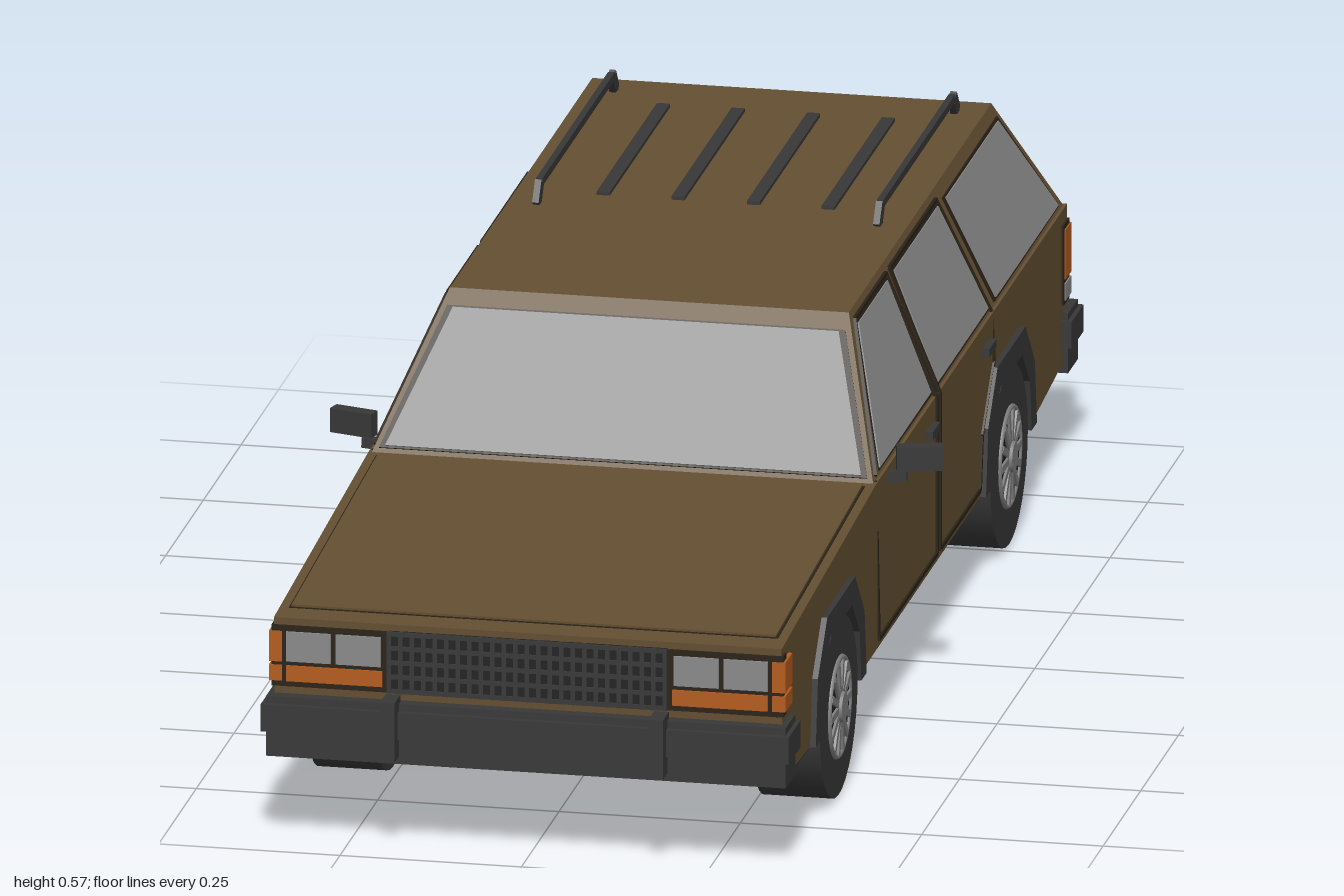
import * as THREE from 'three';
import { ConvexGeometry } from 'three/addons/geometries/ConvexGeometry.js';

const mat = (name, color) => {
  const m = new THREE.MeshStandardMaterial({ color });
  m.name = name;
  return m;
};
const V = (x, y, z) => new THREE.Vector3(x, y, z);

export function createModel() {
  const car = new THREE.Group();
  car.name = 'stationWagon';
  const brown = mat('brownPaint', 0x644f32), seam = mat('darkSeam', 0x2a2217);
  const charcoal = mat('charcoalTrim', 0x383838), black = mat('blackUnderside', 0x222222);
  const glass = mat('greyGlass', 0x8a8a8a), orange = mat('orangeLens', 0xb45c1e);
  const metal = mat('wheelMetal', 0x808080);

  const add = (name, geo, m, parent = car) => {
    const mesh = new THREE.Mesh(geo, m);
    mesh.name = name;
    parent.add(mesh);
    return mesh;
  };
  // Box given by its limits
  const box = (name, m, x0, x1, y0, y1, z0, z1, parent) => {
    const b = add(name, new THREE.BoxGeometry(Math.abs(x1 - x0), y1 - y0, Math.abs(z1 - z0)), m, parent);
    b.position.set((x0 + x1) / 2, (y0 + y1) / 2, (z0 + z1) / 2);
    return b;
  };
  // Side profile of [z, y] points, extruded from x0 to x1
  const profile = (name, m, pts, x0, x1) => {
    const geo = new THREE.ExtrudeGeometry(new THREE.Shape(pts.map(p => new THREE.Vector2(...p))),
      { depth: x1 - x0, bevelEnabled: false });
    geo.rotateY(-Math.PI / 2).translate(x1, 0, 0);
    return add(name, geo, m);
  };
  // Thin bar between two points
  const bar = (name, m, a, b, w, h = w) => {
    const s = add(name, new THREE.BoxGeometry(w, h, a.distanceTo(b)), m);
    s.position.copy(a).add(b).multiplyScalar(0.5);
    s.lookAt(b);
    return s;
  };
  // Thin convex plate raised outwards from a planar loop
  const plate = (name, m, pts, t, grow = 0) => {
    const c = pts.reduce((s, p) => s.add(p), V(0, 0, 0)).divideScalar(pts.length);
    const loop = pts.map(p => p.clone().addScaledVector(p.clone().sub(c).normalize(), grow));
    const n = loop[1].clone().sub(loop[0]).cross(loop[2].clone().sub(loop[0])).normalize();
    if (n.dot(c.clone().sub(V(0, 0.25, 0))) < 0) n.negate();
    const all = [...loop.map(p => p.clone().addScaledVector(n, t)),
      ...loop.map(p => p.clone().addScaledVector(n, -0.002))];
    return add(name, new ConvexGeometry(all), m);
  };
  const pane = (name, pts) => {
    plate(name + 'Frame', seam, pts, 0.002, 0.009);
    plate(name, glass, pts, 0.004);
  };

  // Lower body with angular wheel arches
  const axles = [0.6, -0.53];
  const arch = (z, r) => [[-0.155, 0.12], [-0.142, 0.205], [-0.085, 0.267],
    [0.085, 0.267], [0.142, 0.205], [0.155, 0.12]]
    .map(([dz, y]) => [z + dz * r, 0.12 + (y - 0.12) * r]);
  profile('lowerBody', brown, [[-0.93, 0.14], [-0.72, 0.12], ...arch(-0.53, 1), ...arch(0.6, 1),
    [0.95, 0.127], [0.957, 0.318], [0.33, 0.355], [-0.937, 0.355]], -0.35, 0.35);

  // Cabin
  const yB = 0.354, yT = 0.537;
  const sideX = y => y <= yB ? 0.35 : 0.346 - 0.071 * (y - yB) / (yT - yB);
  const frontZ = y => 0.33 - 0.18 * (y - yB) / (yT - yB);
  const rearZ = y => -0.932 + 0.137 * (y - yB) / (yT - yB);
  const corners = [];
  for (const s of [-1, 1]) for (const y of [yB, yT])
    corners.push(V(s * sideX(y + 1e-5), y, frontZ(y)), V(s * sideX(y + 1e-5), y, rearZ(y)));
  add('cabin', new ConvexGeometry(corners), brown);

  // Windscreen and tailgate window
  const across = (zAt, y0, x0, y1, x1) => [V(-x0, y0, zAt(y0)), V(x0, y0, zAt(y0)),
    V(x1, y1, zAt(y1)), V(-x1, y1, zAt(y1))];
  pane('windscreen', across(frontZ, 0.362, 0.328, 0.515, 0.266));
  pane('rearWindow', across(rearZ, 0.375, 0.285, 0.505, 0.232));

  // Hood panel and cowl
  const hoodY = z => 0.355 - 0.037 * (z - 0.33) / 0.627;
  const hood = [V(-0.334, hoodY(0.345), 0.345), V(0.334, hoodY(0.345), 0.345),
    V(0.334, hoodY(0.917), 0.917), V(-0.334, hoodY(0.917), 0.917)];
  plate('hoodGap', seam, hood, 0.001, 0.004);
  plate('hood', brown, hood, 0.004);

  // Underside, filled between the wheels
  const floors = [[[0.94, 0.118], [0.94, 0.126], [0.756, 0.121], [0.756, 0.112]],
    [[0.444, 0.112], [0.444, 0.121], [-0.374, 0.121], [-0.374, 0.112]],
    [[-0.686, 0.112], [-0.686, 0.121], [-0.92, 0.14], [-0.92, 0.132]]];
  floors.forEach(f => profile('floorPan', black, f, -0.345, 0.345));
  axles.forEach(z => box('innerWell', black, -0.26, 0.26, 0.112, 0.275, z - 0.158, z + 0.158));

  for (const s of [-1, 1]) {
    const P = (z, y, out = 0) => V(s * (sideX(y) + out), y, z);
    const sideBox = (name, m, x0, x1, ...r) => box(name, m, s * x0, s * x1, ...r);

    // Side windows
    const side = list => list.map(([z, y]) => P(z, y));
    pane('frontDoorWindow', side([[0.285, 0.363], [-0.055, 0.363], [-0.055, 0.518], [0.137, 0.518]]));
    pane('rearDoorWindow', side([[-0.1, 0.363], [-0.435, 0.363], [-0.39, 0.518], [-0.1, 0.518]]));
    pane('cargoWindow', side([[-0.485, 0.363], [-0.9, 0.363], [-0.785, 0.515], [-0.438, 0.515]]));

    // Door gaps
    const gaps = [
      [[0.317, 0.355], [0.317, 0.132], [-0.068, 0.132], [-0.068, 0.354], [-0.068, 0.525], [0.14, 0.525], [0.31, 0.36]],
      [[-0.4, 0.525], [-0.088, 0.525], [-0.088, 0.354], [-0.088, 0.132], [-0.355, 0.132], [-0.368, 0.205],
        [-0.445, 0.285], [-0.45, 0.356], [-0.4, 0.525]]];
    for (const g of gaps) for (let i = 1; i < g.length; i++)
      bar('doorGap', seam, P(...g[i - 1]), P(...g[i]), 0.006, 0.006);
    for (const z of [-0.022, -0.398])
      sideBox('doorHandle', charcoal, 0.345, 0.36, 0.314, 0.326, z - 0.024, z + 0.024);

    // Mirror on a short arm
    bar('mirrorArm', charcoal, V(s * 0.335, 0.34, 0.25), V(s * 0.375, 0.342, 0.245), 0.014);
    bar('mirror', charcoal, V(s * 0.36, 0.366, 0.243), V(s * 0.42, 0.366, 0.226), 0.02, 0.034);

    // Roof rail with raked feet
    const rail = [[-0.232, 0.536], [-0.252, 0.563], [-0.73, 0.563], [-0.752, 0.536]];
    for (let i = 1; i < 4; i++)
      bar('roofRail', charcoal, V(s * 0.235, rail[i - 1][1], rail[i - 1][0]),
        V(s * 0.235, rail[i][1], rail[i][0]), 0.009, i === 2 ? 0.011 : 0.02);

    // Head lamps, indicators and corner lamps
    sideBox('lampSurround', seam, 0.194, 0.353, 0.222, 0.308, 0.94, 0.96);
    sideBox('headLamp', glass, 0.202, 0.264, 0.258, 0.3, 0.95, 0.963);
    sideBox('headLamp', glass, 0.271, 0.332, 0.258, 0.3, 0.95, 0.963);
    sideBox('indicator', orange, 0.2, 0.332, 0.23, 0.252, 0.95, 0.963);
    sideBox('cornerLamp', orange, 0.338, 0.356, 0.23, 0.252, 0.915, 0.962);
    sideBox('cornerLamp', orange, 0.338, 0.356, 0.257, 0.3, 0.915, 0.962);

    // Tail lamps wrapping the corner
    sideBox('tailLampSurround', seam, 0.286, 0.353, 0.222, 0.335, -0.9, -0.939);
    sideBox('tailLamp', orange, 0.292, 0.355, 0.258, 0.328, -0.904, -0.942);
    sideBox('reversingLamp', glass, 0.292, 0.355, 0.228, 0.252, -0.904, -0.942);

    // Wheels and flares
    for (const z of axles) {
      const flare = [...arch(z, 1.09), ...arch(z, 0.86).reverse()];
      profile('wheelArchFlare', charcoal, flare, s > 0 ? 0.335 : -0.358, s > 0 ? 0.358 : -0.335);
      const wheel = new THREE.Group();
      wheel.name = 'wheel';
      wheel.position.set(s * 0.307, 0.125, z);
      wheel.rotation.y = s * Math.PI / 2;
      car.add(wheel);
      add('tyre', new THREE.CylinderGeometry(0.125, 0.125, 0.095, 32).rotateX(Math.PI / 2), charcoal, wheel);
      add('hubDish', new THREE.CircleGeometry(0.068, 28), black, wheel).position.z = 0.0485;
      add('rim', new THREE.TorusGeometry(0.068, 0.004, 6, 32), metal, wheel).position.z = 0.048;
      add('hubCap', new THREE.CylinderGeometry(0.02, 0.024, 0.01, 16).rotateX(Math.PI / 2), metal, wheel).position.z = 0.051;
      for (let i = 0; i < 14; i++) {
        const spoke = add('spoke', new THREE.BoxGeometry(0.046, 0.01, 0.006).translate(0.043, 0, 0.049), metal, wheel);
        spoke.rotation.z = i * Math.PI / 7;
      }
    }
  }

  // Axles
  for (const z of axles)
    add('axle', new THREE.CylinderGeometry(0.021, 0.021, 0.53, 12).rotateZ(Math.PI / 2).translate(0, 0.125, z), black);

  // Roof slats
  for (const x of [-0.155, -0.052, 0.052, 0.155])
    box('roofSlat', charcoal, x - 0.009, x + 0.009, 0.535, 0.542, -0.69, -0.29);

  // Grille mesh
  box('grilleBack', black, -0.192, 0.192, 0.222, 0.309, 0.94, 0.96);
  for (let i = 0; i <= 24; i++) {
    const x = -0.19 + i * 0.38 / 24;
    box('grilleUpright', charcoal, x - 0.003, x + 0.003, 0.222, 0.309, 0.95, 0.964);
  }
  for (let i = 0; i <= 4; i++) {
    const y = 0.225 + i * 0.0202;
    box('grilleBar', charcoal, -0.192, 0.192, y - 0.003, y + 0.003, 0.95, 0.963);
  }

  // Tailgate gaps
  box('tailgateGap', seam, -0.28, 0.28, 0.333, 0.337, -0.93, -0.939);
  for (const x of [-0.28, 0.28]) box('tailgateGap', seam, x - 0.002, x + 0.002, 0.2, 0.337, -0.925, -0.939);

  // Bumpers with rubbing strip and guards
  for (const [d, gx] of [[1, 0.185], [-1, 0.21]]) {
    box('bumper', charcoal, -0.358, 0.358, 0.125, 0.21, d * 0.905, d * 0.97);
    box('bumperStrip', charcoal, -0.364, 0.364, 0.162, 0.2, d * 0.9, d * 0.979);
    for (const s of [-1, 1])
      box('bumperGuard', charcoal, s * gx - 0.01, s * gx + 0.01, 0.136, 0.22, d * 0.96, d);
  }
  return car;
}
